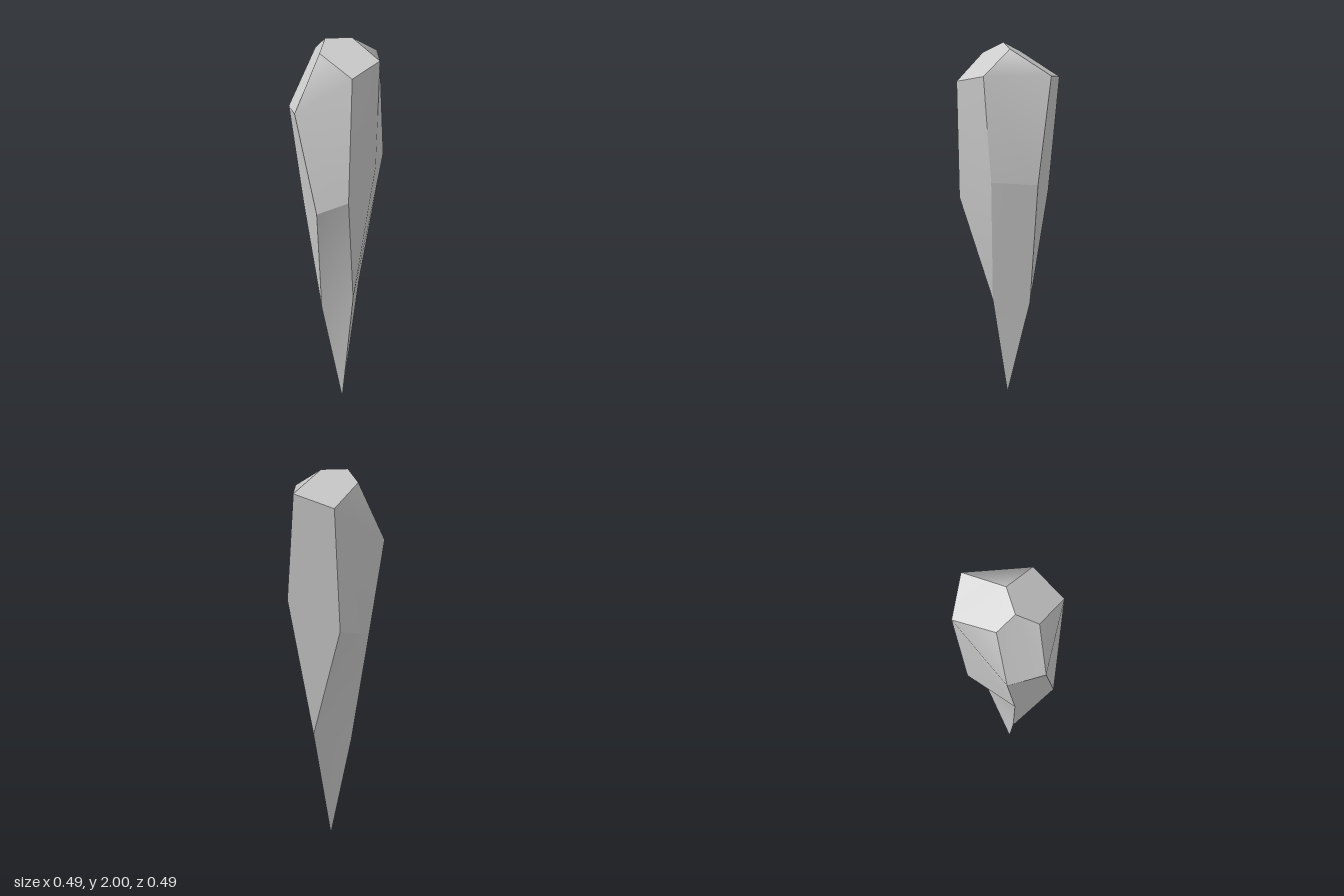
import * as THREE from 'three';
import { mergeGeometries } from 'three/addons/utils/BufferGeometryUtils.js';

// One facet: a fan of triangles from its first corner, smooth inside, sharp at its border
function facet(...corners) {
  const geometry = new THREE.BufferGeometry();
  geometry.setAttribute('position', new THREE.Float32BufferAttribute(corners.flat(), 3));
  const index = [];
  for (let i = 1; i < corners.length - 1; i++) index.push(0, i, i + 1);
  geometry.setIndex(index);
  geometry.computeVertexNormals();
  return geometry;
}

export function createModel() {
  const group = new THREE.Group();
  group.name = 'crystalShard';
  const material = new THREE.MeshStandardMaterial({ color: 0xcccccc });
  const addPart = (name, facets) => {
    const mesh = new THREE.Mesh(mergeGeometries(facets), material);
    mesh.name = name;
    group.add(mesh);
  };

  // Top ridge and the two corners beside it
  const ridgeA = [-0.077, 2, 0], ridgeB = [0.053, 2, 0];
  const capFront = [-0.122, 1.945, 0.09], capBack = [-0.108, 1.945, -0.09];
  const tip = [0.007, 0, 0];

  // Three narrow faces, each with a left and a right edge that meet at a low point
  const narrow = [
    { // front
      lt: [0, 1.85, 0.243], lm: [-0.015, 1.25, 0.243],
      rt: [0.154, 1.91, 0.148], rm: [0.15, 1.385, 0.116],
      low: [0.046, 0.66, 0.09], crown: ridgeB,
    },
    { // back
      lt: [0.216, 1.91, -0.152], lm: [0.243, 1.39, -0.091],
      rt: [0.042, 1.85, -0.245], rm: [0.006, 1.25, -0.215],
      low: [0.119, 0.66, -0.095], crown: capBack,
    },
    { // side
      lt: [-0.245, 1.665, -0.085], lm: [-0.188, 1.165, -0.03],
      rt: [-0.245, 1.665, 0.092], rm: [-0.16, 1.18, 0.178],
      low: [-0.103, 0.57, -0.012], crown: capFront,
    },
  ];
  const [front, back, side] = narrow;

  // Shaft: narrow faces, with wide faces between them, drawn in to a slim point
  const upper = [], lower = [];
  narrow.forEach((a, i) => {
    const b = narrow[(i + 1) % 3];
    upper.push(facet(a.rm, a.rt, a.lt, a.lm, a.low));
    upper.push(facet(a.rt, a.rm, b.lm, b.lt, a.crown));
    lower.push(facet(a.low, tip, b.low, b.lm, a.rm));
  });
  addPart('upperShaft', upper);
  addPart('lowerPoint', lower);

  // Sloping facets at the top
  addPart('crown', [
    facet(ridgeA, capFront, front.lt, front.rt, ridgeB),
    facet(ridgeB, back.lt, back.rt, capBack, ridgeA),
    facet(ridgeA, capBack, side.lt, side.rt, capFront),
  ]);
  return group;
}
